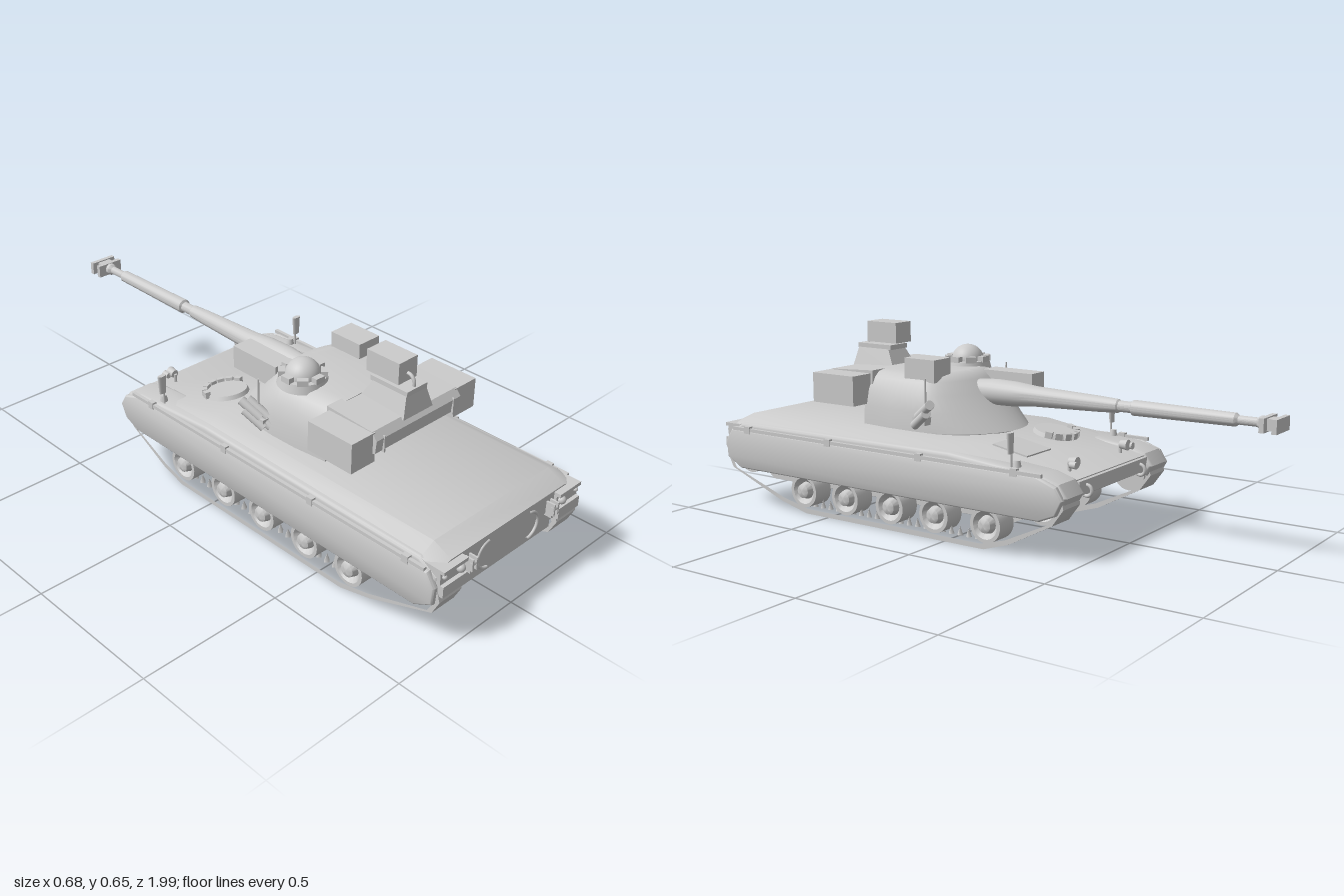
import * as THREE from 'three';
import { toCreasedNormals } from 'three/addons/utils/BufferGeometryUtils.js';

const grey = new THREE.MeshStandardMaterial({ color: 0xcccccc });

export function createModel() {
  const root = new THREE.Group();

  const add = (name, geo, x = 0, y = 0, z = 0, rx = 0, ry = 0, rz = 0) => {
    const m = new THREE.Mesh(geo, grey);
    m.name = name;
    m.position.set(x, y, z);
    m.rotation.set(rx, ry, rz);
    root.add(m);
    return m;
  };
  const box = (name, x0, x1, y0, y1, z0, z1, rx = 0) =>
    add(name, new THREE.BoxGeometry(Math.abs(x1 - x0), y1 - y0, z1 - z0),
      (x0 + x1) / 2, (y0 + y1) / 2, (z0 + z1) / 2, rx);
  const cyl = (r0, r1, h, n = 20) => new THREE.CylinderGeometry(r0, r1, h, n);

  // Extrudes a [z, y] outline across x, centred on x = 0
  const sideSolid = (pts, width, bevel = 0, hole = null) => {
    const vec = (list) => list.map(([z, y]) => new THREE.Vector2(z, y));
    const shape = new THREE.Shape(vec(pts));
    if (hole) shape.holes.push(new THREE.Path(vec(hole)));
    const geo = new THREE.ExtrudeGeometry(shape, {
      depth: width - 2 * bevel, bevelEnabled: bevel > 0, bevelThickness: bevel,
      bevelSize: bevel, bevelOffset: -bevel, bevelSegments: 4,
    });
    geo.translate(0, 0, -(width - 2 * bevel) / 2);
    geo.rotateY(-Math.PI / 2);
    return toCreasedNormals(geo, 0.6);
  };

  // Skins a list of equal-length rings of [x, y, z] and caps both ends
  const loft = (rings) => {
    const n = rings[0].length, pos = rings.flat(2), idx = [];
    for (let i = 0; i < rings.length - 1; i++)
      for (let j = 0; j < n; j++) {
        const a = i * n + j, b = i * n + (j + 1) % n;
        idx.push(a, b, b + n, a, b + n, a + n);
      }
    const last = (rings.length - 1) * n;
    for (let j = 1; j < n - 1; j++) idx.push(0, j + 1, j, last, last + j, last + j + 1);
    // Turn the faces outward if the enclosed volume is negative
    const v = (i) => new THREE.Vector3(...pos.slice(i * 3, i * 3 + 3));
    let volume = 0;
    for (let i = 0; i < idx.length; i += 3)
      volume += v(idx[i]).dot(v(idx[i + 1]).cross(v(idx[i + 2])));
    if (volume < 0) idx.reverse();
    const geo = new THREE.BufferGeometry();
    geo.setAttribute('position', new THREE.Float32BufferAttribute(pos, 3));
    geo.setIndex(idx);
    return toCreasedNormals(geo, 0.6);
  };

  // Hull tub and sloping-edged deck
  add('hullTub', sideSolid([[0.96, 0.28], [0.96, 0.15], [0.86, 0.07], [-0.2, 0.07],
    [-0.44, 0.19], [-0.44, 0.235], [-0.05, 0.3], [0.9, 0.3]], 0.43));
  const deckRing = (z, top, edge) => [[-0.32, 0.22, z], [0.32, 0.22, z], [0.32, edge, z],
    [0.265, top, z], [-0.265, top, z], [-0.32, edge, z]];
  add('deck', loft([deckRing(0.965, 0.285, 0.265), deckRing(0.9, 0.315, 0.285),
    deckRing(-0.02, 0.315, 0.285), deckRing(-0.43, 0.24, 0.235)]));

  // Running gear, mirrored
  const trackOuter = [[0.6, 0], [-0.155, 0], [-0.25, 0.03], [-0.41, 0.115], [-0.45, 0.17],
    [-0.44, 0.215], [-0.39, 0.24], [0.9, 0.24], [0.965, 0.22], [0.98, 0.17], [0.955, 0.12], [0.72, 0.03]];
  const trackInner = trackOuter.map(([z, y]) =>
    [0.265 + (z - 0.265) * 0.975, 0.12 + (y - 0.12) * 0.86]);
  const wheelGeo = new THREE.LatheGeometry([[0, -0.04], [0.058, -0.04], [0.058, 0.035], [0.046, 0.035],
    [0.03, 0.018], [0.024, 0.04], [0.012, 0.046], [0, 0.046]].map((p) => new THREE.Vector2(...p)), 28);
  const wheel = toCreasedNormals(wheelGeo, 0.5);
  const tooth = new THREE.ConeGeometry(0.012, 0.03, 4);
  const fenderGeo = sideSolid([[0.965, 0.18], [0.965, 0.25], [0.9, 0.29], [-0.02, 0.295],
    [-0.36, 0.265], [-0.43, 0.245], [-0.46, 0.205], [-0.44, 0.17]], 0.115, 0.015);
  const skirtGeo = sideSolid([[0.965, 0.16], [0.97, 0.22], [0.94, 0.265], [-0.36, 0.265], [-0.43, 0.24],
    [-0.455, 0.2], [-0.43, 0.15], [-0.37, 0.125], [0.9, 0.125]], 0.024, 0.01);
  for (const s of [-1, 1]) {
    add('track', sideSolid(trackOuter, 0.097, 0, trackInner), s * 0.2735);
    for (const z of [0.62, 0.43, 0.235, 0.05, -0.155])
      add('roadWheel', wheel, s * 0.277, 0.075, z, 0, 0, -s * Math.PI / 2);
    for (const [z, y] of [[0.88, 0.165], [-0.365, 0.165]])
      add('endWheel', wheel, s * 0.27, y, z, 0, 0, -s * Math.PI / 2);
    for (let i = 0; i < 22; i++) add('trackTooth', tooth, s * 0.2735, 0.03, 0.6 - i * 0.035);
    add('fender', fenderGeo, s * 0.268);
    add('sideSkirt', skirtGeo, s * 0.328);
    box('skirtRail', s * 0.328, s * 0.34, 0.262, 0.274, -0.38, 0.93);
    for (const z of [-0.28, 0.09, 0.48, 0.86]) box('railClamp', s * 0.325, s * 0.342, 0.255, 0.28, z - 0.012, z + 0.012);

    // Rear plate fittings
    box('rearLampHousing', s * 0.216, s * 0.32, 0.19, 0.28, 0.9, 0.975);
    box('lampHood', s * 0.216, s * 0.32, 0.268, 0.28, 0.97, 0.988);
    box('lampLedge', s * 0.216, s * 0.32, 0.19, 0.228, 0.97, 0.988);
    add('rearLamp', new THREE.SphereGeometry(0.014, 16, 12), s * 0.237, 0.249, 0.98);
    add('markerLamp', new THREE.SphereGeometry(0.008, 12, 8), s * 0.307, 0.254, 0.98);
    const arc = new THREE.TorusGeometry(0.047, 0.005, 8, 20, Math.PI);
    add('rearHandle', arc, s * 0.095, 0.215, 0.965, 0, 0, -s * Math.PI / 2);
    for (const o of [-0.009, 0.009])
      box('towLug', s * 0.191 + o - 0.003, s * 0.191 + o + 0.003, 0.222, 0.264, 0.955, 0.995);
    add('towPin', cyl(0.007, 0.007, 0.028, 12), s * 0.191, 0.245, 0.988, 0, 0, Math.PI / 2);
    box('towHook', s * 0.182, s * 0.2, 0.21, 0.23, 0.955, 0.985);

    // Bow lamps, tow eyes and mirrors
    add('bowLampPost', cyl(0.006, 0.006, 0.04, 10), s * 0.16, 0.26, -0.37);
    add('bowLamp', cyl(0.018, 0.014, 0.028, 16), s * 0.16, 0.28, -0.385, -Math.PI / 2);
    add('bowLamp', cyl(0.012, 0.01, 0.024, 16), s * 0.178, 0.275, -0.395, -Math.PI / 2);
    add('bowTowEye', new THREE.TorusGeometry(0.018, 0.006, 8, 16), s * 0.17, 0.2, -0.44, 0, Math.PI / 2);
    add('mirrorPost', cyl(0.004, 0.004, 0.07, 8), s * 0.305, 0.3, -0.25);
    add('mirrorFoot', cyl(0.01, 0.014, 0.02, 12), s * 0.295, 0.285, -0.265);
    const mirror = add('mirror', cyl(0.017, 0.013, 0.066, 16), s * 0.31, 0.35, -0.25);
    mirror.scale.z = 0.5;

    // Smoke launchers on the turret cheeks
    for (let i = 0; i < 4; i++) {
      const row = i >> 1, col = i & 1;
      add('smokeLauncher', cyl(0.015, 0.015, 0.085, 14), s * (0.235 + col * 0.02),
        0.37 + row * 0.03, 0.155 - row * 0.015 - col * 0.01, -0.95, 0, -s * 0.3);
    }
    box('launcherBracket', s * 0.2, s * 0.25, 0.35, 0.375, 0.13, 0.18);
    add('antennaMount', cyl(0.003, 0.004, 0.1, 8), s * 0.232, 0.453, 0.14);

    // Bustle bins and rear slots
    box('bustleBin', s * 0.18, s * 0.28, 0.39, 0.492, 0.41, 0.59);
    box('rearGrab', s * 0.154, s * 0.159, 0.42, 0.476, 0.59, 0.608);
  }

  // Hatches on the sloping bow plate
  const hatch = add('driverHatch', cyl(0.07, 0.078, 0.02, 28), -0.125, 0.298, -0.135, -0.18);
  for (let i = 0; i < 7; i++) {
    const a = -1.3 + i * 0.43;
    const p = new THREE.Mesh(new THREE.BoxGeometry(0.024, 0.022, 0.018), grey);
    p.name = 'driverPeriscope';
    p.position.set(Math.sin(a) * 0.074, 0.01, -Math.cos(a) * 0.074);
    p.rotation.y = -a;
    hatch.add(p);
  }
  box('engineHatch', 0.04, 0.18, 0.279, 0.295, -0.225, -0.09, -0.18);

  // Turret: egg-shaped rings, rounded bow and nearly flat stern
  const ring = (y, front, hw, back = 0.42) => {
    const half = [], mid = 0.2;
    for (let i = 0; i <= 12; i++) {
      const a = (i / 12) * Math.PI / 2;
      half.push([hw * Math.sin(a), y, mid - (mid - front) * Math.cos(a)]);
    }
    half.push([hw * 0.99, y, 0.3], [hw * 0.93, y, back]);
    return [...half, ...half.slice(1).reverse().map(([x, yy, z]) => [-x, yy, z])];
  };
  add('turretRing', cyl(0.2, 0.2, 0.02, 40), 0, 0.318, 0.16);
  add('turret', loft([ring(0.322, -0.07, 0.23), ring(0.385, -0.005, 0.226), ring(0.44, 0.05, 0.212),
    ring(0.48, 0.09, 0.188), ring(0.497, 0.11, 0.165), ring(0.504, 0.14, 0.13)]));
  add('bustle', sideSolid([[0.4, 0.388], [0.56, 0.408], [0.6, 0.425], [0.605, 0.47],
    [0.585, 0.494], [0.4, 0.503]], 0.38));

  // Sight pedestal and rear sight head
  const rect = (y, hw, z0, z1) => [[-hw, y, z0], [hw, y, z0], [hw, y, z1], [-hw, y, z1]];
  add('sightPedestal', loft([rect(0.485, 0.066, 0.41, 0.597), rect(0.555, 0.045, 0.45, 0.585)]));
  box('pedestalCap', -0.045, 0.045, 0.553, 0.57, 0.44, 0.588);
  const bend = new THREE.CatmullRomCurve3([[0, 0.56, 0.575], [0, 0.588, 0.573], [0, 0.602, 0.56],
    [0, 0.603, 0.53]].map((p) => new THREE.Vector3(...p)));
  add('sightArm', new THREE.TubeGeometry(bend, 16, 0.006, 10));
  box('rearSightHead', -0.041, 0.041, 0.577, 0.649, 0.418, 0.548);

  // Roof and mantlet sights
  box('roofSight', 0.087, 0.178, 0.48, 0.556, 0.145, 0.27);
  box('mantletSight', -0.14, -0.065, 0.42, 0.5, -0.08, 0.12);

  // Commander's cupola
  add('cupolaBase', cyl(0.076, 0.084, 0.03, 32), -0.125, 0.503, 0.23);
  add('cupolaDome', new THREE.SphereGeometry(0.058, 28, 12, 0, Math.PI * 2, 0, Math.PI / 2),
    -0.125, 0.515, 0.23);
  for (let i = 0; i < 8; i++) {
    const a = (i / 8) * Math.PI * 2;
    add('cupolaPeriscope', new THREE.BoxGeometry(0.036, 0.02, 0.022),
      -0.125 + Math.sin(a) * 0.067, 0.525, 0.23 + Math.cos(a) * 0.067, 0, a);
  }

  // Gun with stepped sleeve and slotted muzzle brake
  const barrel = [[0, -0.12], [0.036, -0.12], [0.044, -0.02], [0.042, 0.06], [0.034, 0.14], [0.026, 0.38],
    [0.022, 0.45], [0.018, 0.455], [0.018, 0.5], [0.025, 0.505], [0.021, 0.85], [0.014, 0.86],
    [0.014, 0.92], [0.021, 0.93], [0.021, 0.945], [0.016, 0.95], [0.016, 0.99], [0, 0.99]];
  const gun = new THREE.LatheGeometry(barrel.map((p) => new THREE.Vector2(...p)), 24);
  gun.rotateX(-Math.PI / 2);
  add('gunBarrel', toCreasedNormals(gun, 0.5), 0, 0.44, 0);
  for (const z of [-0.99, -0.95]) box('muzzleFlange', -0.049, 0.049, 0.418, 0.462, z - 0.008, z + 0.008);
  box('muzzleCore', -0.025, 0.025, 0.422, 0.458, -0.99, -0.945);

  return root;
}
